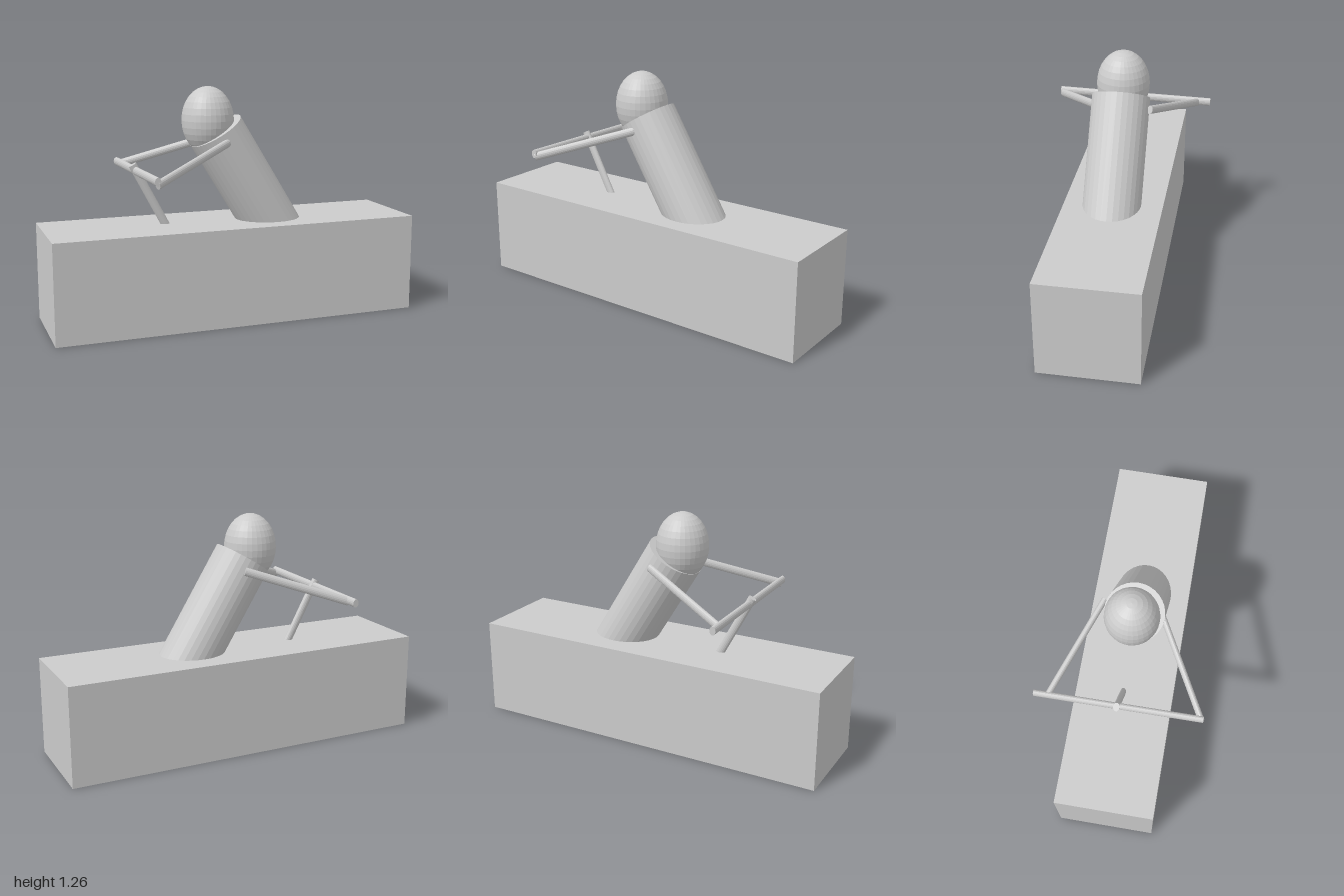
import * as THREE from 'three';

const material = new THREE.MeshStandardMaterial({ color: 0xcccccc, flatShading: true });

function part(name, geometry, parent) {
  const mesh = new THREE.Mesh(geometry, material);
  mesh.name = name;
  parent.add(mesh);
  return mesh;
}

// Cylinder from a to b with an oval section: narrow sideways, deep vertically
function rod(name, a, b, halfWidth, halfDepth, sides, parent) {
  const start = new THREE.Vector3(...a);
  const end = new THREE.Vector3(...b);
  const along = end.clone().sub(start);
  const length = along.length();
  along.normalize();
  const side = new THREE.Vector3().crossVectors(along, new THREE.Vector3(0, 1, 0)).normalize();
  const up = new THREE.Vector3().crossVectors(side, along);
  const geometry = new THREE.CylinderGeometry(1, 1, length, sides);
  geometry.scale(halfWidth, 1, halfDepth);
  const mesh = part(name, geometry, parent);
  // local x = side, y = along, z = side x along
  mesh.quaternion.setFromRotationMatrix(new THREE.Matrix4().makeBasis(side, along, up));
  mesh.position.copy(start).add(end).multiplyScalar(0.5);
  return mesh;
}

export function createModel() {
  const model = new THREE.Group();
  model.name = 'rider';

  // Block the figure sits on
  part('body', new THREE.BoxGeometry(2, 0.53, 0.524), model).position.y = 0.265;

  // Leaning torso, its foot sunk into the block
  rod('torso', [0.298, 0.42, 0.008], [-0.071, 1.02, 0.008], 0.155, 0.155, 32, model);

  // Egg-shaped head
  const head = part('head', new THREE.SphereGeometry(1, 32, 16), model);
  head.scale.set(0.14, 0.18, 0.141);
  head.position.set(-0.113, 1.078, 0.003);

  // Steering post and crossbar
  rod('steeringPost', [-0.31, 0.45, -0.008], [-0.525, 0.857, -0.008], 0.016, 0.0225, 16, model);
  rod('handlebar', [-0.51, 0.817, -0.44], [-0.51, 0.832, 0.435], 0.016, 0.0225, 16, model);

  // Arms reaching from the torso sides to the bar
  rod('leftArm', [-0.05, 0.97, 0.152], [-0.51, 0.815, 0.425], 0.016, 0.0225, 16, model);
  rod('rightArm', [-0.005, 0.98, -0.155], [-0.51, 0.812, -0.368], 0.016, 0.0225, 16, model);

  return model;
}
